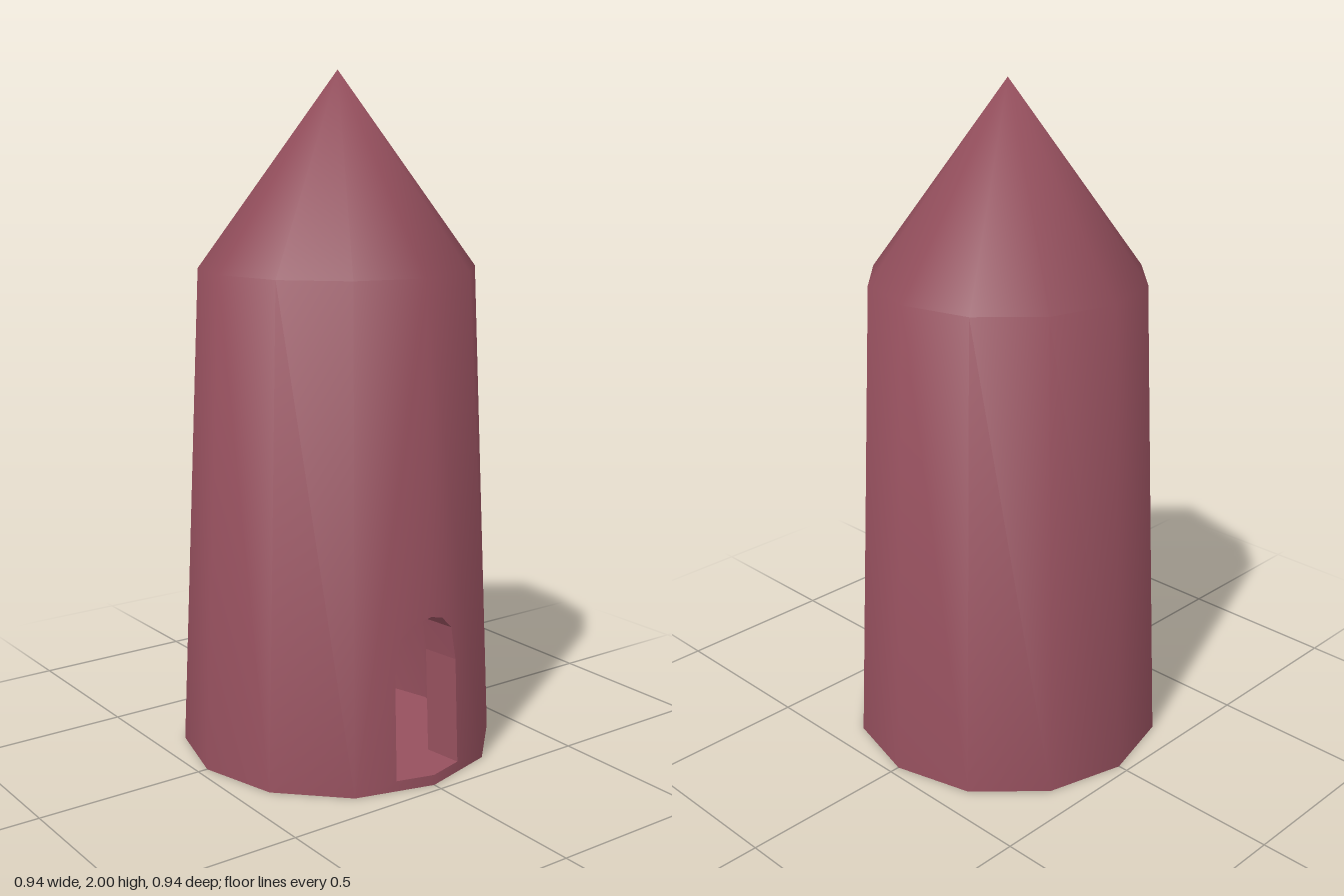
import * as THREE from 'three';

const SIDES = 12, STEP = Math.PI / 6, SILL = 0.03;
// half of the arched doorway, from sill to crown: [offset from centre, height]
const ARCH = [[0.112, SILL], [0.11, 0.34], [0.092, 0.44], [0.05, 0.48], [0, 0.495]];

export function createModel() {
  const group = new THREE.Group();
  const mat = (color) => new THREE.MeshStandardMaterial({ color, side: THREE.DoubleSide });
  const stone = mat(0x96505e);
  const add = (name, geometry, material, x = 0, y = 0, z = 0) => {
    const mesh = new THREE.Mesh(geometry, material);
    mesh.name = name;
    mesh.position.set(x, y, z);
    group.add(mesh);
    return mesh;
  };

  const outer = { bottom: 0, eave: 1.44, apex: 2, arch: ARCH, radius: (y) => 0.47 - 0.0444 * y };
  const inner = {
    bottom: SILL, eave: 1.4, apex: 1.82, arch: ARCH.map(([w, h]) => [w * 0.87, h]),
    radius: (y) => 0.35 - 0.0444 * y,
  };

  // point on the door facets, which meet in a ridge on the +x axis
  const onFacet = (shell, w, y) =>
    new THREE.Vector3(shell.radius(y) - Math.abs(w) * Math.tan(STEP / 2), y, -w);

  // smooth normals that blend from the wall over the eave to the tip
  const smooth = (geometry, shell) => {
    const p = geometry.attributes.position, n = geometry.attributes.normal;
    for (let i = 0; i < p.count; i++) {
      const y = p.getY(i), a = Math.atan2(p.getZ(i), p.getX(i));
      const tilt = 0.044 + 0.29 * Math.min(1, y / shell.eave);
      if (y > shell.apex - 0.001) n.setXYZ(i, 0, 1, 0);
      else n.setXYZ(i, Math.cos(a) * Math.cos(tilt), Math.sin(tilt), Math.sin(a) * Math.cos(tilt));
    }
    return geometry;
  };

  // one half of the wall around the doorway
  const doorFacet = (shell, side) => {
    const { bottom, eave, arch, radius } = shell;
    const s = Math.sin(STEP);
    const pts = [[radius(bottom) * s, bottom], [radius(eave) * s, eave], [0, eave],
      ...[...arch].reverse()];
    if (bottom < SILL) pts.push([0, SILL], [0, bottom]);
    const g = new THREE.ShapeGeometry(
      new THREE.Shape(pts.map(([w, y]) => new THREE.Vector2(w * side, y))));
    const p = g.attributes.position;
    for (let i = 0; i < p.count; i++) {
      const v = onFacet(shell, p.getX(i), p.getY(i));
      p.setXYZ(i, v.x, v.y, v.z);
    }
    return smooth(g, shell);
  };

  // outer and inner shells: wall, door facets and pointed roof
  for (const [label, shell] of [['outer', outer], ['inner', inner]]) {
    const { bottom, eave, apex, radius } = shell;
    const wall = [new THREE.Vector2(radius(bottom), bottom), new THREE.Vector2(radius(eave), eave)];
    const roof = [wall[1], new THREE.Vector2(0, apex)];
    add(label + 'Wall', smooth(new THREE.LatheGeometry(wall, SIDES - 2,
      Math.PI / 2 + STEP, Math.PI * 2 - STEP * 2), shell), stone);
    add(label + 'Roof', smooth(new THREE.LatheGeometry(roof, SIDES), shell), stone);
    for (const side of [1, -1]) add(label + 'DoorFacet', doorFacet(shell, side), stone);
  }

  // base and floor
  add('base', new THREE.CircleGeometry(0.47, SIDES).rotateX(Math.PI / 2), stone);
  add('floor', new THREE.CircleGeometry(0.35, SIDES).rotateX(-Math.PI / 2), stone, 0, SILL, 0);

  // reveal of the doorway: a strip joining the two shells, sill included
  const loop = (shell) => [[0, SILL], ...shell.arch,
    ...shell.arch.slice(0, -1).reverse().map(([w, h]) => [-w, h]), [0, SILL]]
    .map(([w, h]) => onFacet(shell, w, h));
  const lo = loop(outer), li = loop(inner), tris = [];
  for (let i = 0; i < lo.length - 1; i++)
    tris.push(lo[i], lo[i + 1], li[i + 1], lo[i], li[i + 1], li[i]);
  const reveal = new THREE.BufferGeometry().setFromPoints(tris);
  reveal.computeVertexNormals();
  add('doorReveal', reveal, stone);

  // furnishings inside: central pole on a foot, sloping plank, lamp, step and stool
  const grey = mat(0xcccccc), olive = mat(0x9c9444);
  add('pole', new THREE.CylinderGeometry(0.006, 0.006, 1.5, 8), grey, 0, 0.78, 0);
  add('poleFoot', new THREE.BoxGeometry(0.1, 0.025, 0.095), grey, 0, 0.05, 0.007);
  add('plank', new THREE.BoxGeometry(0.08, 0.042, 0.25), olive, -0.12, 0.165, 0)
    .rotation.x = 0.38;
  add('lamp', new THREE.SphereGeometry(0.026, 8, 6), mat(0xb0b860), -0.12, 0.35, 0.07);
  add('step', new THREE.BoxGeometry(0.1, 0.03, 0.07), mat(0x700808), 0, 0.047, -0.08);
  add('stool', new THREE.CylinderGeometry(0.035, 0.045, 0.1, 8), stone, -0.07, 0.08, 0);
  return group;
}
